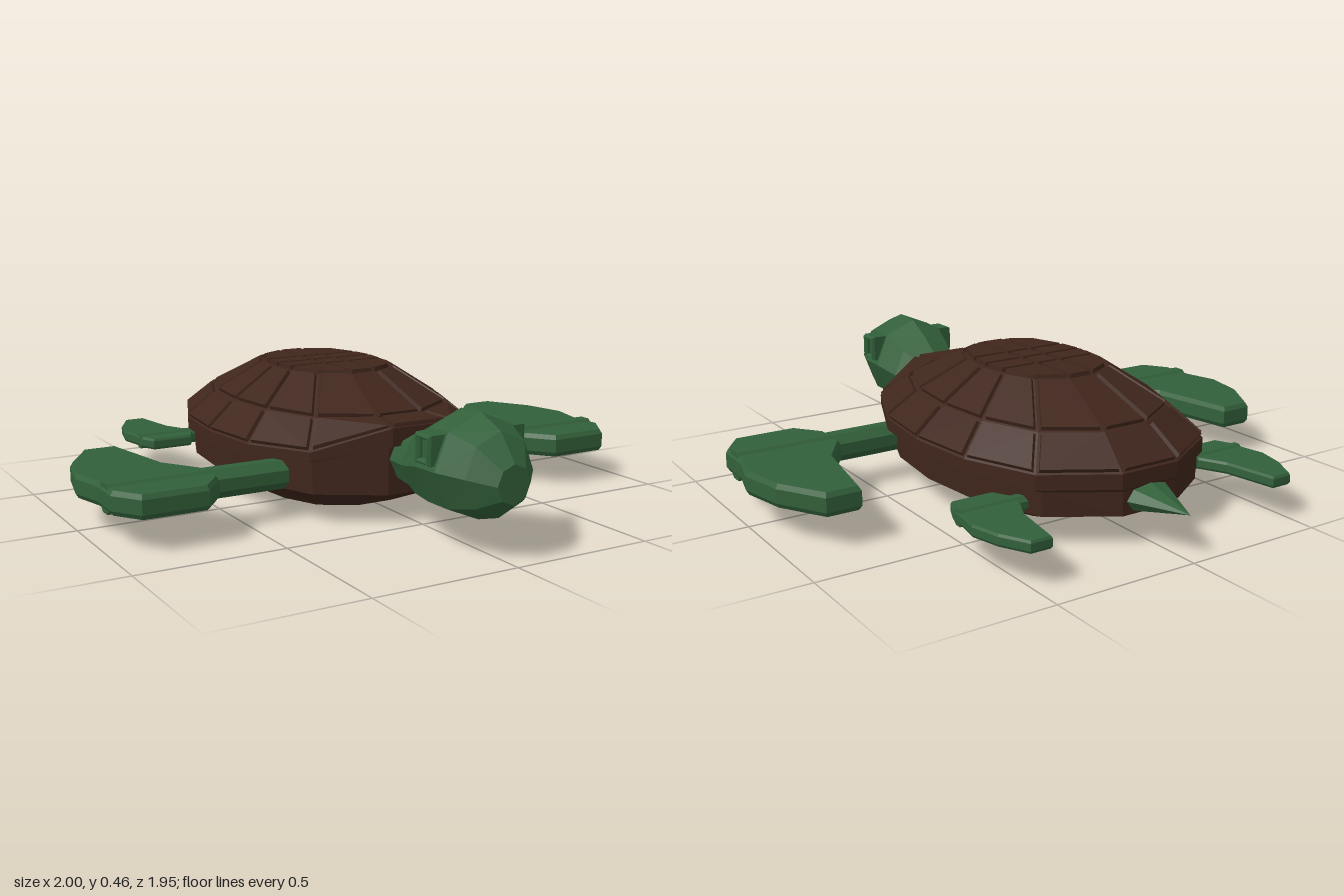
import * as THREE from 'three';
import { ConvexGeometry } from 'three/addons/geometries/ConvexGeometry.js';

const brown = new THREE.MeshStandardMaterial({ color: 0x40261c, flatShading: true });
const green = new THREE.MeshStandardMaterial({ color: 0x32603a, flatShading: true });
const V = (x, y, z) => new THREE.Vector3(x, y, z);

// Right half of the 14-sided shell outline, back to front
const HALF = [[0.235, -1], [0.72, -0.785], [0.94, -0.4], [1, 0], [0.94, 0.4], [0.72, 0.785], [0.235, 1]];

// One shell ring; height is a number or a list along the half outline
function shellRing(rx, back, front, y) {
  const mid = (back + front) / 2, rz = (front - back) / 2;
  const half = HALF.map(([u, w], i) => V(u * rx, Array.isArray(y) ? y[i] : y, mid + w * rz));
  return [...half, ...half.map((p) => V(-p.x, p.y, p.z)).reverse()];
}

// Joins rings of equal count and closes both ends
function loft(rings) {
  const pos = [];
  const tri = (...ps) => ps.forEach((p) => pos.push(p.x, p.y, p.z));
  const n = rings[0].length;
  const centre = (r) => r.reduce((s, p) => s.add(p), V(0, 0, 0)).divideScalar(n);
  const first = rings[0], last = rings[rings.length - 1];
  const c0 = centre(first), c1 = centre(last);
  for (let i = 0; i < n; i++) {
    const j = (i + 1) % n;
    for (let k = 0; k < rings.length - 1; k++) {
      const a = rings[k], b = rings[k + 1];
      tri(a[i], b[i], b[j]);
      tri(a[i], b[j], a[j]);
    }
    tri(c0, first[i], first[j]);
    tri(c1, last[j], last[i]);
  }
  const g = new THREE.BufferGeometry();
  g.setAttribute('position', new THREE.Float32BufferAttribute(pos, 3));
  g.computeVertexNormals();
  return g;
}

// Raised plate with sloping edges on a quad of the shell
function plate(corners, gap, height) {
  const c = corners.reduce((s, p) => s.add(p), V(0, 0, 0)).divideScalar(4);
  const normal = corners[2].clone().sub(corners[0]).cross(corners[3].clone().sub(corners[1])).normalize();
  if (normal.y < 0) normal.negate();
  const inset = (d) => corners.map((p, i) => {
    const q = p.clone();
    for (const k of [1, 3]) q.addScaledVector(corners[(i + k) % 4].clone().sub(p).normalize(), d);
    return q;
  });
  const low = inset(gap * 0.6).map((p) => p.addScaledVector(normal, -0.01));
  const high = inset(gap).map((p) => p.addScaledVector(normal, height));
  return new ConvexGeometry([...low, ...high]);
}

// Flat fin from a plan outline of [x, z] points
function fin(outline, s, y0, y1, bevel) {
  const shape = new THREE.Shape(outline.map(([x, z]) => new THREE.Vector2(s * x, -z)));
  const g = new THREE.ExtrudeGeometry(shape, {
    depth: y1 - y0 - 2 * bevel, bevelThickness: bevel, bevelSize: bevel * 0.6,
    bevelOffset: -bevel * 0.6, bevelSegments: 1,
  });
  return g.rotateX(-Math.PI / 2).translate(0, y0 + bevel, 0);
}

// Eight-sided limb bone along x
function bone(x0, x1, s, y, z, r) {
  const g = new THREE.CylinderGeometry(r, r, x1 - x0, 8);
  return g.rotateY(Math.PI / 8).rotateZ(Math.PI / 2).translate((s * (x0 + x1)) / 2, y, z);
}

export function createModel() {
  const model = new THREE.Group();
  const add = (parent, name, geometry, material) => {
    const mesh = new THREE.Mesh(geometry, material);
    mesh.name = name;
    parent.add(mesh);
  };
  const group = (name) => {
    const g = new THREE.Group();
    g.name = name;
    model.add(g);
    return g;
  };

  // Shell: belly, overhanging rim and dome
  const shell = group('shell');
  const rimLow = shellRing(0.465, -0.79, 0.485, [0.19, 0.19, 0.2, 0.2, 0.2, 0.22, 0.27]);
  const rim = shellRing(0.465, -0.79, 0.485, [0.24, 0.24, 0.24, 0.24, 0.24, 0.25, 0.33]);
  const middle = shellRing(0.36, -0.665, 0.355, 0.335);
  const top = shellRing(0.2, -0.43, 0.12, 0.445);
  add(shell, 'shellBody', loft([
    shellRing(0.26, -0.5, 0.2, 0),
    shellRing(0.43, -0.785, 0.45, 0.1),
    shellRing(0.435, -0.785, 0.45, [0.18, 0.18, 0.19, 0.19, 0.19, 0.21, 0.26]),
    rimLow, rim, middle, top,
  ]), brown);

  // Two bands of raised plates around the dome
  const bands = [[rim, middle, 'rimPlate'], [middle, top, 'domePlate']];
  for (const [a, b, name] of bands) {
    for (let i = 0; i < 14; i++) {
      const j = (i + 1) % 14;
      add(shell, name, plate([a[i], a[j], b[j], b[i]], 0.011, 0.013), brown);
    }
  }

  // Crown plates in three columns
  const rows = [top[0].z, -0.245, -0.155, -0.065, top[6].z];
  const seam = top[0].x;
  for (let r = 0; r < 4; r++) {
    const y = 0.445, z0 = rows[r], z1 = rows[r + 1];
    add(shell, 'crownPlate', plate([V(-seam, y, z0), V(seam, y, z0), V(seam, y, z1), V(-seam, y, z1)], 0.009, 0.015), brown);
    // outer cells follow the outline; the end cells are cut at the corner
    const start = [top[0], V(0.19, y, rows[1]), V(0.2, y, rows[2]), V(0.19, y, rows[3])][r];
    const end = [V(0.19, y, rows[1]), V(0.2, y, rows[2]), V(0.19, y, rows[3]), top[6]][r];
    const quad = r === 0 ? [start, top[1], end, V(seam, y, z1)]
      : r === 3 ? [V(seam, y, z0), start, top[5], end]
        : [V(seam, y, z0), start, end, V(seam, y, z1)];
    for (const s of [1, -1]) {
      add(shell, 'crownPlate', plate(quad.map((p) => V(s * p.x, p.y, p.z)), 0.009, 0.015), brown);
    }
  }

  // Head and neck: z, half width, bottom, top
  const head = group('head');
  const sections = [
    [0.4, 0.095, 0.14, 0.3], [0.53, 0.105, 0.12, 0.32], [0.6, 0.14, 0.105, 0.37],
    [0.7, 0.165, 0.095, 0.425], [0.8, 0.165, 0.095, 0.43], [0.9, 0.125, 0.125, 0.39],
    [0.97, 0.06, 0.18, 0.305],
  ];
  add(head, 'headAndNeck', loft(sections.map(([z, w, y0, y1]) =>
    Array.from({ length: 8 }, (_, i) => {
      const a = (i * Math.PI) / 4;
      return V(Math.sin(a) * w, (y0 + y1) / 2 + (Math.cos(a) * (y1 - y0)) / 2, z);
    }))), green);

  // Tail
  const tail = new THREE.ConeGeometry(0.115, 0.25, 8).scale(1, 1, 0.55);
  add(model, 'tail', tail.rotateX(-Math.PI / 2).translate(0, 0.145, -0.85), green);

  const frontOutline = [[0.61, 0.12], [0.695, -0.01], [0.75, -0.32], [0.87, -0.32], [0.965, -0.16],
    [1, 0], [0.97, 0.12], [0.97, 0.25], [0.905, 0.345], [0.685, 0.345], [0.61, 0.25]];
  const hindOutline = [[0.36, -0.61], [0.405, -0.7], [0.435, -0.885], [0.51, -0.885], [0.56, -0.79],
    [0.585, -0.69], [0.57, -0.61], [0.565, -0.55], [0.54, -0.495], [0.39, -0.495], [0.36, -0.55]];

  for (const s of [1, -1]) {
    const side = s > 0 ? 'left' : 'right';

    // Front flipper with its arm
    const front = group(side + 'FrontFlipper');
    add(front, 'arm', bone(0.35, 0.965, s, 0.148, 0.18, 0.053), green);
    add(front, 'paddle', fin(frontOutline, s, 0.108, 0.188, 0.016), green);

    // Hind flipper with its leg
    const hind = group(side + 'HindFlipper');
    add(hind, 'leg', bone(0.32, 0.565, s, 0.13, -0.58, 0.029), green);
    add(hind, 'paddle', fin(hindOutline, s, 0.11, 0.15, 0.008), green);

    // Square eye socket with a recessed eye
    const frame = new THREE.Shape([[-0.04, -0.047], [0.04, -0.047], [0.04, 0.047], [-0.04, 0.047]]
      .map(([x, y]) => new THREE.Vector2(x, y)));
    frame.holes.push(new THREE.Path([[-0.02, -0.03], [-0.02, 0.03], [0.02, 0.03], [0.02, -0.03]]
      .map(([x, y]) => new THREE.Vector2(x, y))));
    const socket = new THREE.ExtrudeGeometry(frame, {
      depth: 0.05, bevelThickness: 0.01, bevelSize: 0.006, bevelOffset: -0.006, bevelSegments: 1,
    });
    add(head, side + 'EyeSocket', socket.rotateY((s * Math.PI) / 2).translate(s * 0.12, 0.325, 0.75), green);
    add(head, side + 'Eye', new THREE.BoxGeometry(0.04, 0.066, 0.046).translate(s * 0.14, 0.325, 0.75), green);
  }
  return model;
}
